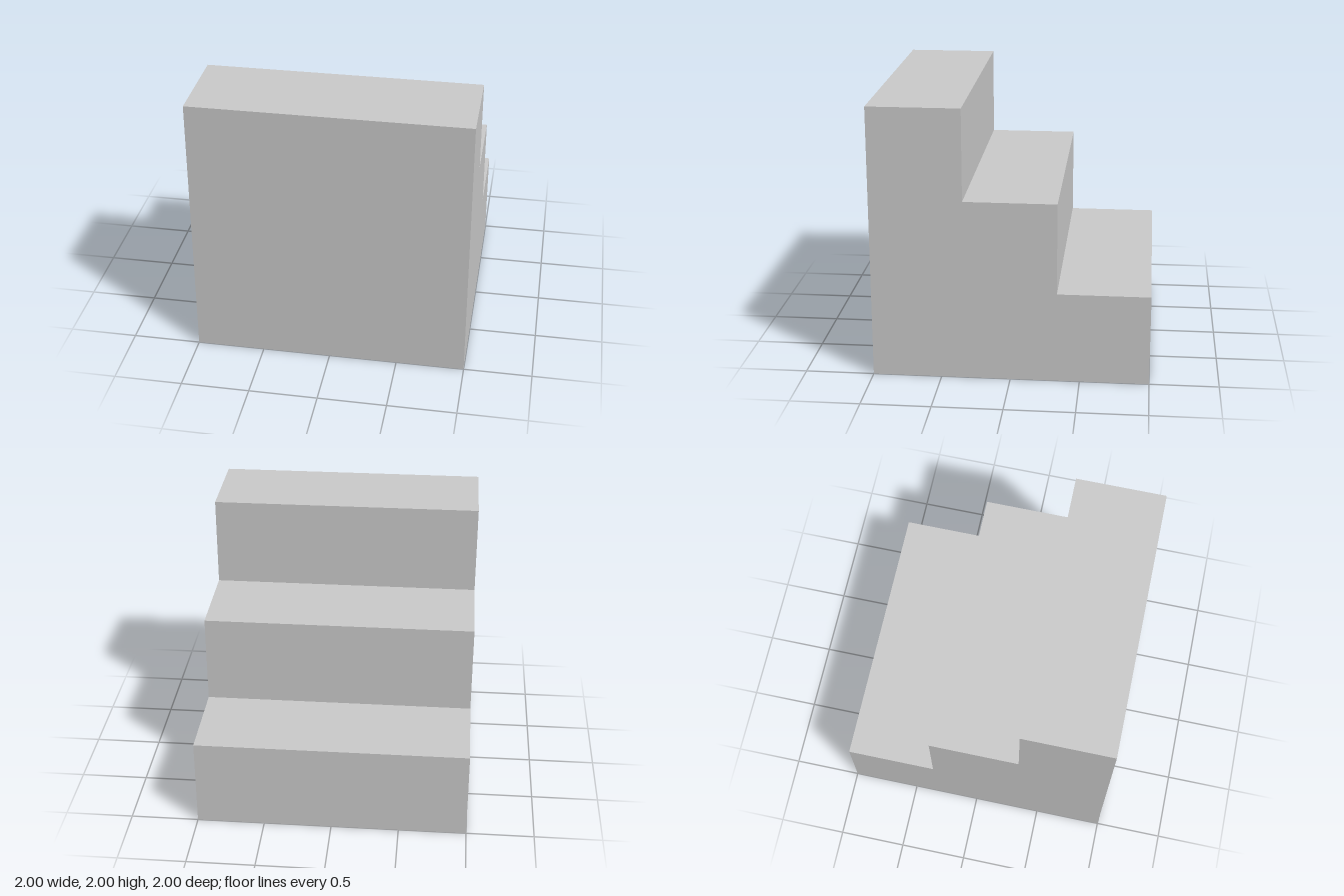
import * as THREE from 'three';

const STEPS = 3;
const SIZE = 2;

export function createModel() {
  const group = new THREE.Group();
  group.name = 'staircase';

  // Stepped side profile: tall at the front, descending towards the back
  const step = SIZE / STEPS;
  const profile = new THREE.Shape();
  profile.moveTo(-SIZE / 2, 0);
  profile.lineTo(SIZE / 2, 0);
  for (let i = 0; i < STEPS; i++) {
    const top = (i + 1) * step;
    profile.lineTo(SIZE / 2 - i * step, top); // riser
    profile.lineTo(SIZE / 2 - (i + 1) * step, top); // tread
  }
  profile.closePath();

  // Extrude across the width, then turn so the width runs along x
  const geometry = new THREE.ExtrudeGeometry(profile, { depth: SIZE, bevelEnabled: false });
  geometry.translate(0, 0, -SIZE / 2);
  geometry.rotateY(Math.PI / 2);

  const material = new THREE.MeshStandardMaterial({ color: 0xcccccc, flatShading: true });
  const steps = new THREE.Mesh(geometry, material);
  steps.name = 'steps';
  group.add(steps);
  return group;
}
